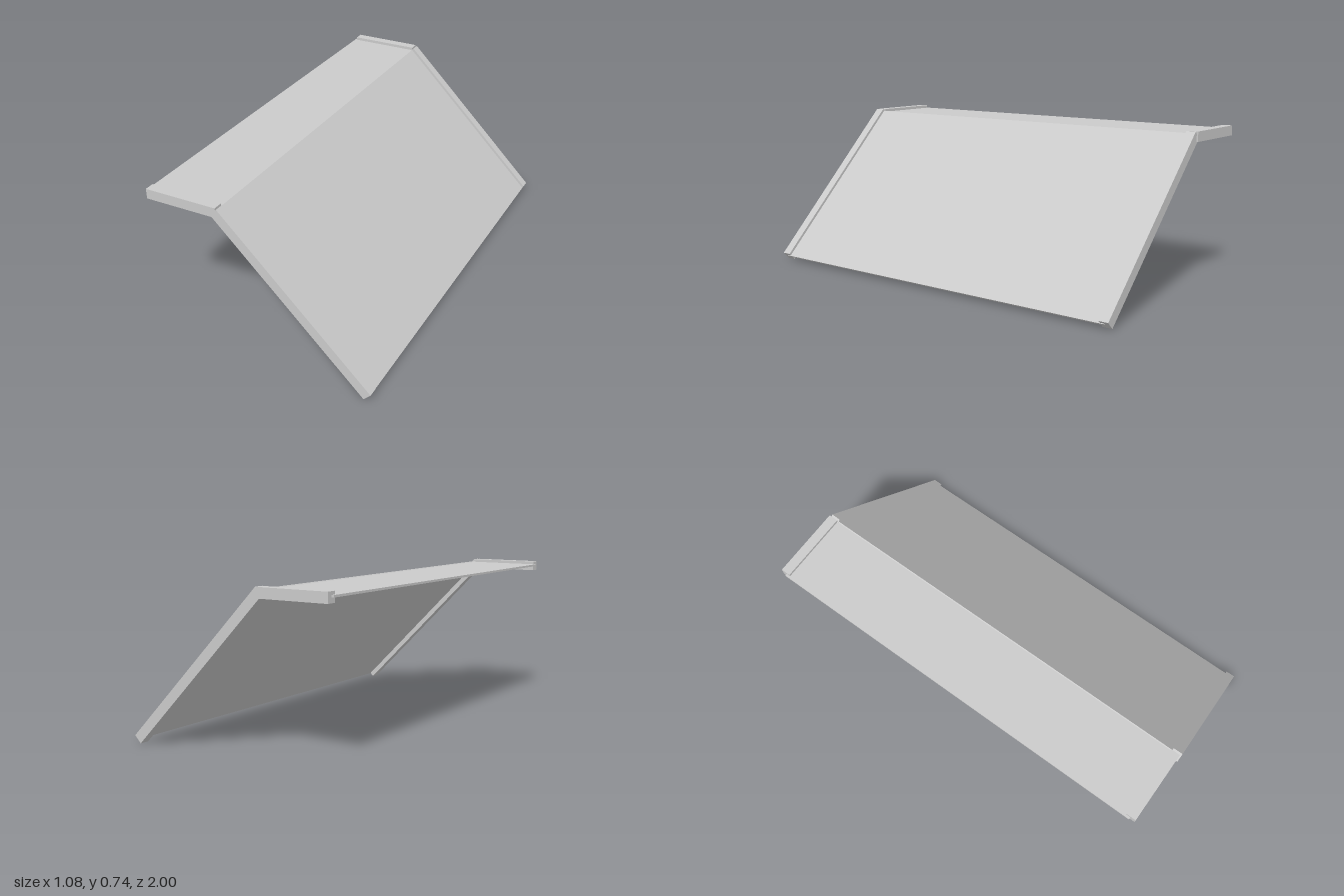
import * as THREE from 'three';

export function createModel() {
  const model = new THREE.Group();
  const material = new THREE.MeshStandardMaterial({ color: 0xcccccc, flatShading: true });

  const box = (parent, name, size, position) => {
    const mesh = new THREE.Mesh(new THREE.BoxGeometry(...size), material);
    mesh.name = name;
    mesh.position.set(...position);
    parent.add(mesh);
  };

  // One roof plane: a thin panel held between two end beams
  const section = (name, x, y, angle, beam, panel, zShift) => {
    const group = new THREE.Group();
    group.name = name;
    group.position.set(x, y, 0);
    group.rotation.z = angle;
    for (const [side, z] of [['front', 0.972], ['back', -0.972]])
      box(group, `${side}Beam`, [beam, 0.047, 0.046], [0, 0, z + zShift]);
    box(group, 'panel', [panel.length, 0.01, 1.94], [panel.x, panel.y, zShift]);
    model.add(group);
  };

  // Level top, set slightly further back than the slope
  section('flatRoof', -0.355, 0.719, 0, 0.35, { length: 0.362, x: -0.004, y: 0.004 }, -0.005);
  // 45 degree slope running down to the ground
  section('slopedRoof', 0.1685, 0.371, -Math.PI / 4, 1.003, { length: 1.005, x: 0.0025, y: 0.006 }, 0.002);

  return model;
}
